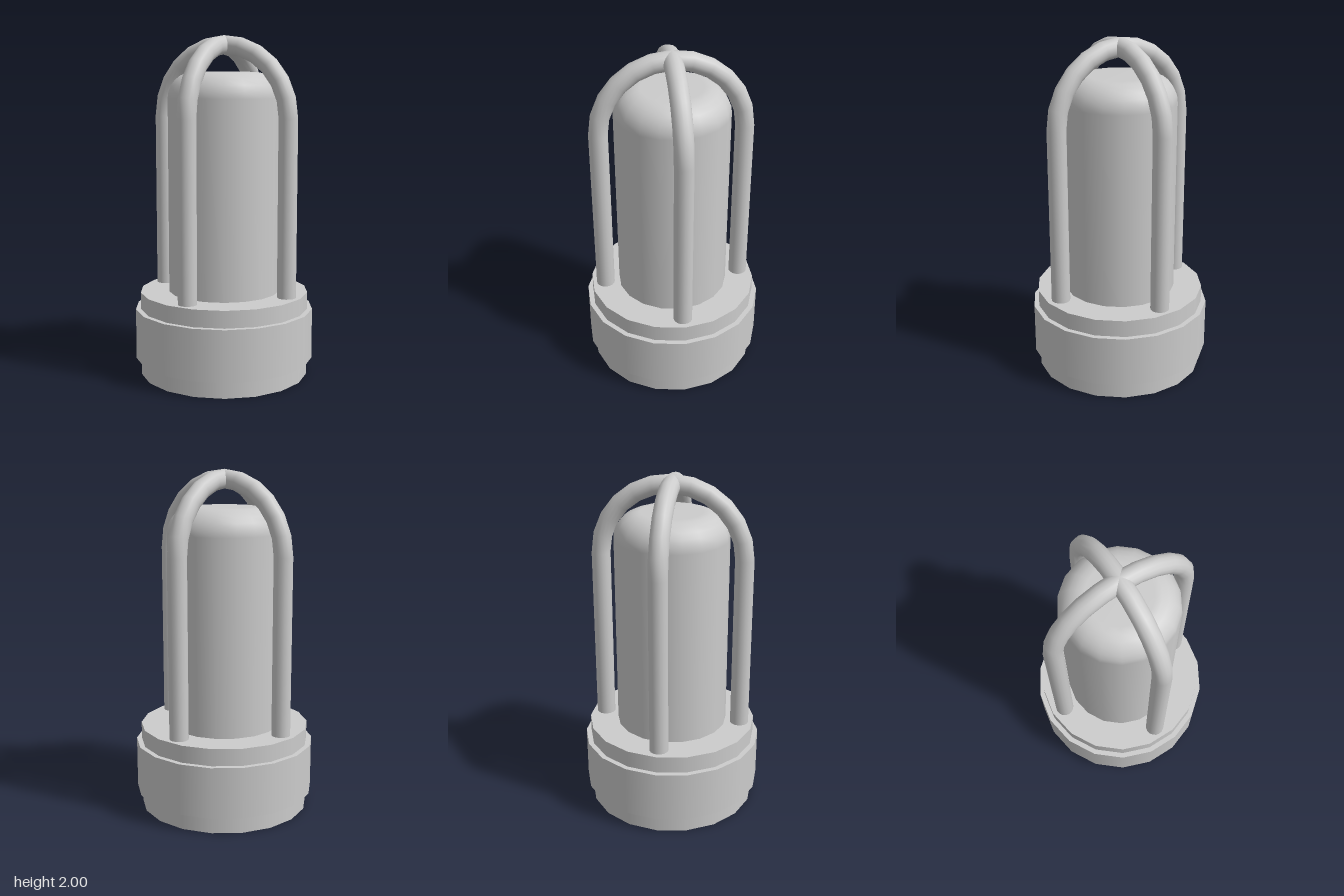
import * as THREE from 'three';

const SIDES = 18;
const material = new THREE.MeshStandardMaterial({ color: 0xcccccc });

function add(parent, name, geometry, y = 0) {
  const mesh = new THREE.Mesh(geometry, material);
  mesh.name = name;
  mesh.position.y = y;
  parent.add(mesh);
  return mesh;
}

// Upright 18-sided drum with a corner on the x axis
function drum(radius, height) {
  return new THREE.CylinderGeometry(radius, radius, height, SIDES).rotateY(Math.PI / 2);
}

// One guard hoop: two straight legs joined by a half-circle
function guardHoop(name) {
  const reach = 0.415, bar = 0.055, foot = 0.5, spring = 1.53;
  const hoop = new THREE.Group();
  hoop.name = name;
  for (const side of [-1, 1]) {
    const leg = add(hoop, side > 0 ? 'guardLegA' : 'guardLegB',
      new THREE.CylinderGeometry(bar, bar, spring - foot, 16), (spring + foot) / 2);
    leg.position.x = side * reach;
  }
  add(hoop, 'guardArch', new THREE.TorusGeometry(reach, bar, 16, 12, Math.PI), spring);
  return hoop;
}

export function createModel() {
  const lamp = new THREE.Group();
  lamp.name = 'cagedLamp';

  // Base with a wider collar around it
  add(lamp, 'base', drum(0.5, 0.5), 0.25);
  add(lamp, 'collar', drum(0.53, 0.3), 0.25);

  // Lamp cover with a rounded shoulder
  const corner = 0.15, radius = 0.33, top = 1.79;
  const profile = [new THREE.Vector2(radius, 0.5)];
  for (let i = 0; i <= 6; i++) {
    const a = (i / 6) * Math.PI / 2;
    profile.push(new THREE.Vector2(
      radius - corner + corner * Math.cos(a), top - corner + corner * Math.sin(a)));
  }
  profile.push(new THREE.Vector2(0, top));
  add(lamp, 'lampCover', new THREE.LatheGeometry(profile, SIDES).rotateY(Math.PI / 2));

  // Two crossing hoops form the guard cage
  lamp.add(guardHoop('sideGuardHoop'));
  const frontHoop = guardHoop('frontGuardHoop');
  frontHoop.rotation.y = Math.PI / 2;
  lamp.add(frontHoop);

  return lamp;
}
